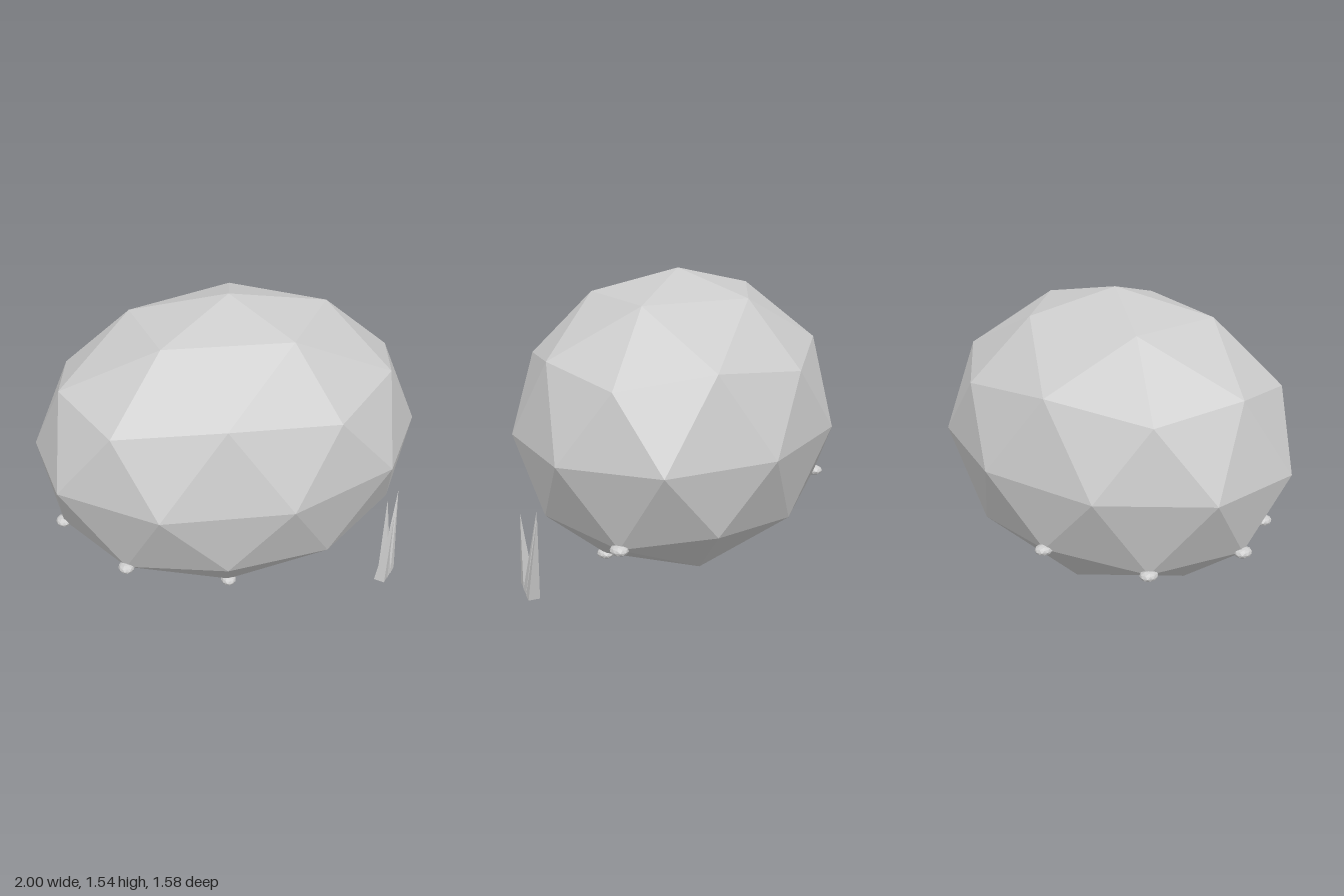
import * as THREE from 'three';

const stone = new THREE.MeshStandardMaterial({ color: 0xcccccc });
stone.name = 'paleGrey';

const CENTRE_Y = 0.783, HALF_HEIGHT = 0.762;

// Skewed ellipse of the body at height h (-1..1) and ring angle in degrees
function bodyPoint(h, degrees) {
  const a = THREE.MathUtils.degToRad(degrees);
  const r = Math.sqrt(1 - h * h), c = r * Math.cos(a), s = r * Math.sin(a);
  return new THREE.Vector3(c - 0.153 * s, CENTRE_Y + HALF_HEIGHT * h, 0.05 * c + 0.817 * s);
}

// Faceted ball standing on one of its corners
function cornerBall() {
  const ball = new THREE.IcosahedronGeometry(1, 1);
  ball.rotateZ(Math.atan(2 / (1 + Math.sqrt(5))));
  ball.rotateY(-Math.PI / 10);
  return ball;
}

function addMesh(group, name, geometry) {
  const flat = geometry.index ? geometry.toNonIndexed() : geometry;
  flat.computeVertexNormals();
  const mesh = new THREE.Mesh(flat, stone);
  mesh.name = name;
  group.add(mesh);
  return mesh;
}

export function createModel() {
  const model = new THREE.Group();
  model.name = 'facetedBody';

  // Body: faceted ball, flattened and slightly skewed
  const body = cornerBall();
  body.applyMatrix4(new THREE.Matrix4().set(
    1, 0, -0.153, 0,
    0, HALF_HEIGHT, 0, CENTRE_Y,
    0.05, 0, 0.817, 0,
    0, 0, 0, 1));
  addMesh(model, 'body', body);

  // Small knobs sitting on corners of the underside: [height, angle]
  const knobs = new THREE.Group();
  knobs.name = 'knobs';
  const spots = [
    [-0.851, 18], [-0.851, 90],
    [-0.526, -18], [-0.526, 126], [-0.526, 198],
    [-0.447, 162], [-0.447, 234],
  ];
  for (const [h, angle] of spots) {
    const knob = cornerBall();
    knob.scale(0.04, 0.026, 0.046);
    addMesh(knobs, 'knob', knob).position.copy(bodyPoint(h, angle));
  }
  model.add(knobs);

  // Foot: a row of three four-sided spikes, bases down, tips at the body
  const foot = new THREE.Group();
  foot.name = 'foot';
  const along = new THREE.Vector3(0.62, 0, -0.78);
  const across = new THREE.Vector3(0.78, 0, 0.62);
  const tips = [[0.8, 0.42, 0.43], [0.795, 0.455, 0.33], [0.88, 0.46, 0.26]];
  tips.forEach((tip, i) => {
    const base = new THREE.Vector3(0.795, 0.008 * (2 - i), 0.395).addScaledVector(along, (i - 1) * 0.055);
    const rise = new THREE.Vector3(...tip).sub(base);
    const spike = new THREE.ConeGeometry(0.057 / Math.SQRT2, 1, 4);
    spike.rotateY(Math.PI / 4);
    spike.translate(0, 0.5, 0);
    spike.applyMatrix4(new THREE.Matrix4().makeBasis(along, rise, across).setPosition(base));
    addMesh(foot, 'spike', spike);
  });
  model.add(foot);

  return model;
}
